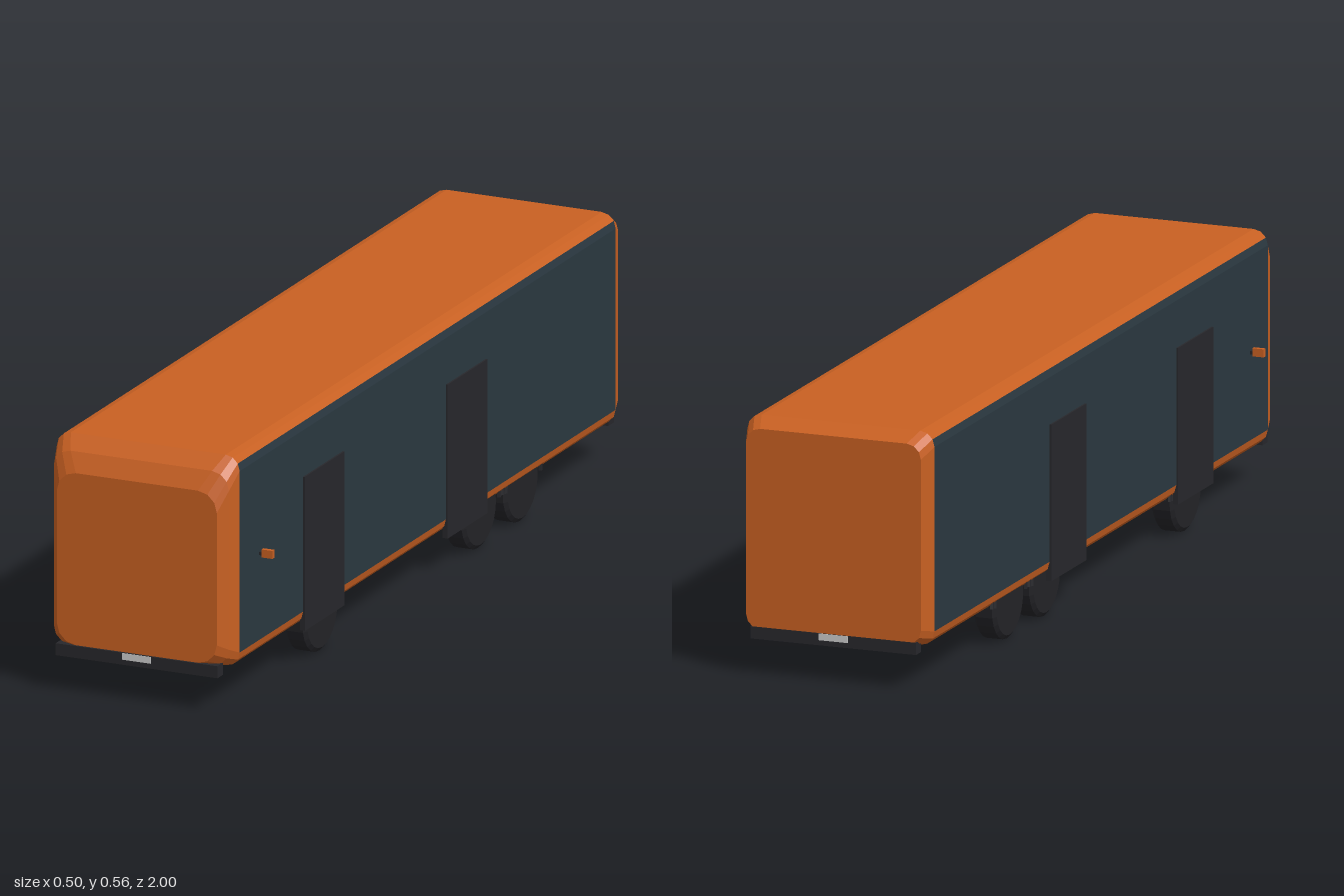
import * as THREE from 'three';

const paint = (color) => new THREE.MeshStandardMaterial({ color, flatShading: true });
const orange = paint(0xc86022);
const glass = paint(0x2a3840);
const dark = paint(0x27272b);
const rubber = paint(0x232327);
const white = paint(0xd8d8d4);

const SEG = 3; // facets per rounded corner

// Rounded rectangle in the xy plane, anticlockwise from the bottom right corner
function section({ z, hw, y0, y1, r }) {
  const corners = [[hw - r, y0 + r, -90], [hw - r, y1 - r, 0], [r - hw, y1 - r, 90], [r - hw, y0 + r, 180]];
  const points = [];
  for (const [cx, cy, start] of corners) {
    for (let i = 0; i <= SEG; i++) {
      const a = THREE.MathUtils.degToRad(start + (90 * i) / SEG);
      points.push([cx + r * Math.cos(a), cy + r * Math.sin(a), z]);
    }
  }
  return points;
}

// Joins sections from front to back, keeping only the strips chosen by pick
function loft(sections, pick, caps) {
  const rings = sections.map(section);
  const n = rings[0].length;
  const index = [];
  for (let k = 0; k < rings.length - 1; k++) {
    for (let i = 0; i < n; i++) {
      if (!pick(k, i)) continue;
      const j = (i + 1) % n;
      const a = k * n + i, b = (k + 1) * n + i, c = (k + 1) * n + j, d = k * n + j;
      index.push(a, b, c, a, c, d);
    }
  }
  if (caps) {
    const last = (rings.length - 1) * n;
    for (let i = 1; i < n - 1; i++) index.push(0, i, i + 1, last, last + i + 1, last + i);
  }
  const geometry = new THREE.BufferGeometry();
  geometry.setAttribute('position', new THREE.Float32BufferAttribute(rings.flat(2), 3));
  geometry.setIndex(index);
  const flat = geometry.toNonIndexed();
  flat.computeVertexNormals();
  return flat;
}

export function createModel() {
  const model = new THREE.Group();
  model.name = 'bus';

  function add(name, geometry, material, x = 0, y = 0, z = 0) {
    const mesh = new THREE.Mesh(geometry, material);
    mesh.name = name;
    mesh.position.set(x, y, z);
    model.add(mesh);
    return mesh;
  }
  const box = (name, w, h, d, material, x, y, z) =>
    add(name, new THREE.BoxGeometry(w, h, d), material, x, y, z);

  // Body shell, with the long side strips left to the glass
  const sections = [
    { z: 0.998, hw: 0.19, y0: 0.107, y1: 0.495, r: 0.045 },
    { z: 0.975, hw: 0.208, y0: 0.098, y1: 0.536, r: 0.04 },
    { z: 0.94, hw: 0.217, y0: 0.09, y1: 0.565, r: 0.033 },
    { z: -0.955, hw: 0.217, y0: 0.09, y1: 0.565, r: 0.033 },
    { z: -0.998, hw: 0.203, y0: 0.1, y1: 0.545, r: 0.033 },
  ];
  const sideStrips = [3, 4, 10, 11];
  const isGlass = (k, i) => k === 2 && sideStrips.includes(i);
  add('body', loft(sections, (k, i) => !isGlass(k, i), true), orange);
  add('sideGlass', loft(sections, isGlass, false), glass);

  // Bumpers and number plates at both ends
  for (const end of [1, -1]) {
    const label = end > 0 ? 'front' : 'rear';
    box(label + 'Bumper', 0.384, 0.027, 0.028, dark, 0, 0.092, end * 0.985);
    box(label + 'Plate', 0.068, 0.015, 0.002, white, 0, 0.0975, end * 0.999);
  }

  // Tyre profile with bevelled shoulders, turned about the axle
  const tyre = new THREE.LatheGeometry(
    [[0, -0.026], [0.076, -0.026], [0.085, -0.019], [0.085, 0.019], [0.076, 0.026], [0, 0.026]]
      .map(([r, h]) => new THREE.Vector2(r, h)), 24);
  tyre.rotateZ(Math.PI / 2);
  const arch = new THREE.TorusGeometry(0.096, 0.006, 6, 16, Math.PI);
  arch.rotateY(Math.PI / 2);

  for (const side of [1, -1]) {
    const label = side > 0 ? 'left' : 'right';

    // Wheels and arches: one front axle, two rear axles
    for (const z of [0.505, -0.295, -0.505]) {
      add(label + 'Wheel', tyre, rubber, side * 0.182, 0.085, z);
      add(label + 'WheelArch', arch, dark, side * 0.204, 0.088, z);
    }

    // Doors
    for (const z of [0.52, -0.2]) box(label + 'Door', 0.012, 0.347, 0.2, dark, side * 0.215, 0.2535, z);

    // Mirror on a short arm
    box(label + 'MirrorArm', 0.012, 0.007, 0.005, dark, side * 0.22, 0.318, 0.84);
    box(label + 'Mirror', 0.026, 0.018, 0.01, orange, side * 0.237, 0.32, 0.84);
  }

  return model;
}
